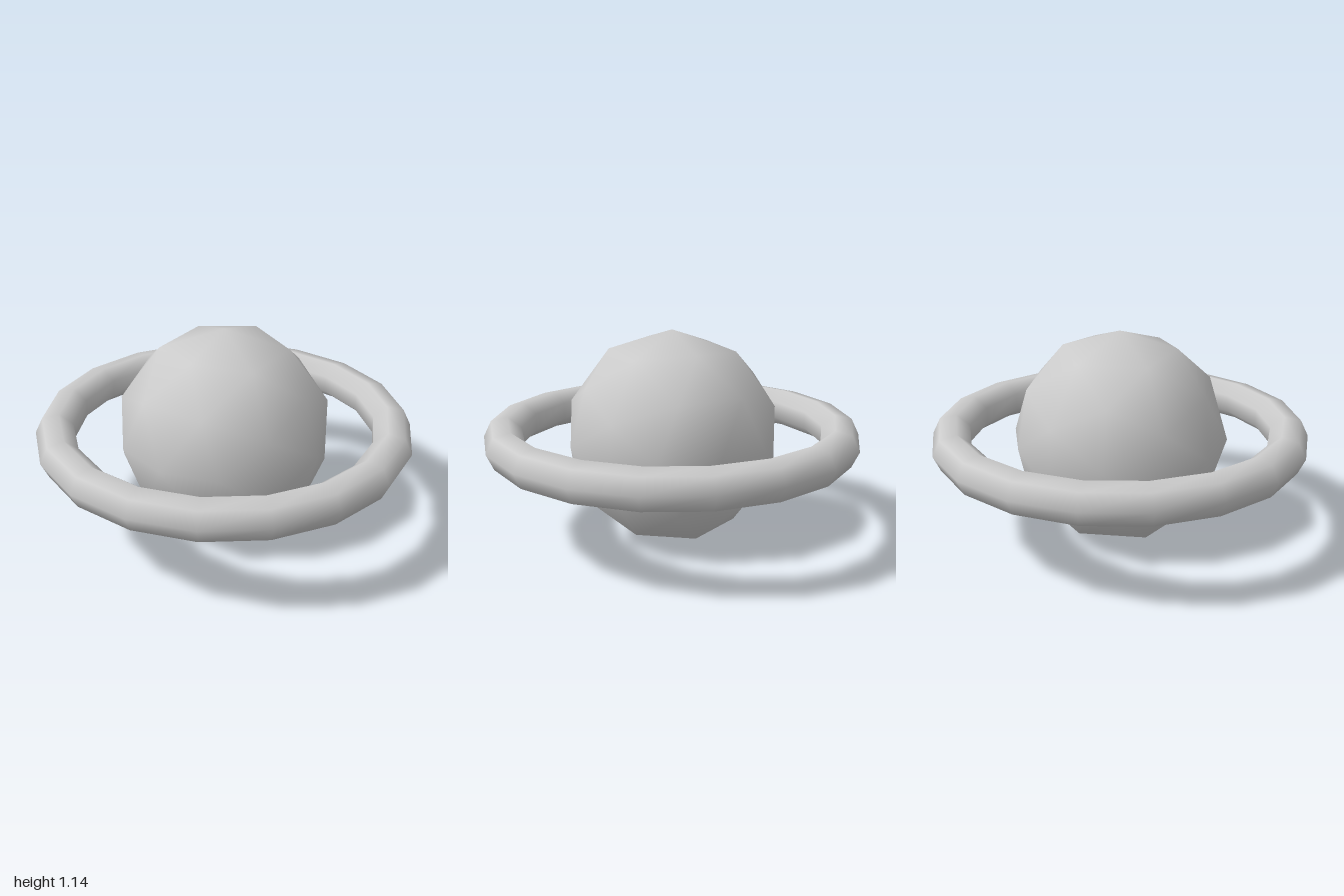
import * as THREE from 'three';

export function createModel() {
  const model = new THREE.Group();
  const material = new THREE.MeshStandardMaterial({ color: 0xcccccc });
  const centreY = 0.572;
  const deg = Math.PI / 180;

  const add = (name, geometry, turn) => {
    const mesh = new THREE.Mesh(geometry, material);
    mesh.name = name;
    mesh.position.y = centreY;
    mesh.rotation.y = turn * deg;
    model.add(mesh);
  };

  // Globe: once-divided icosahedron, smooth shaded
  add('globe', new THREE.IcosahedronGeometry(0.57, 1), 52);

  // Ring: seven-sided tube in eighteen steps, lying flat
  const ring = new THREE.TorusGeometry(0.894, 0.106, 7, 18);
  ring.rotateX(Math.PI / 2);
  add('ring', ring, -1.1);

  return model;
}
